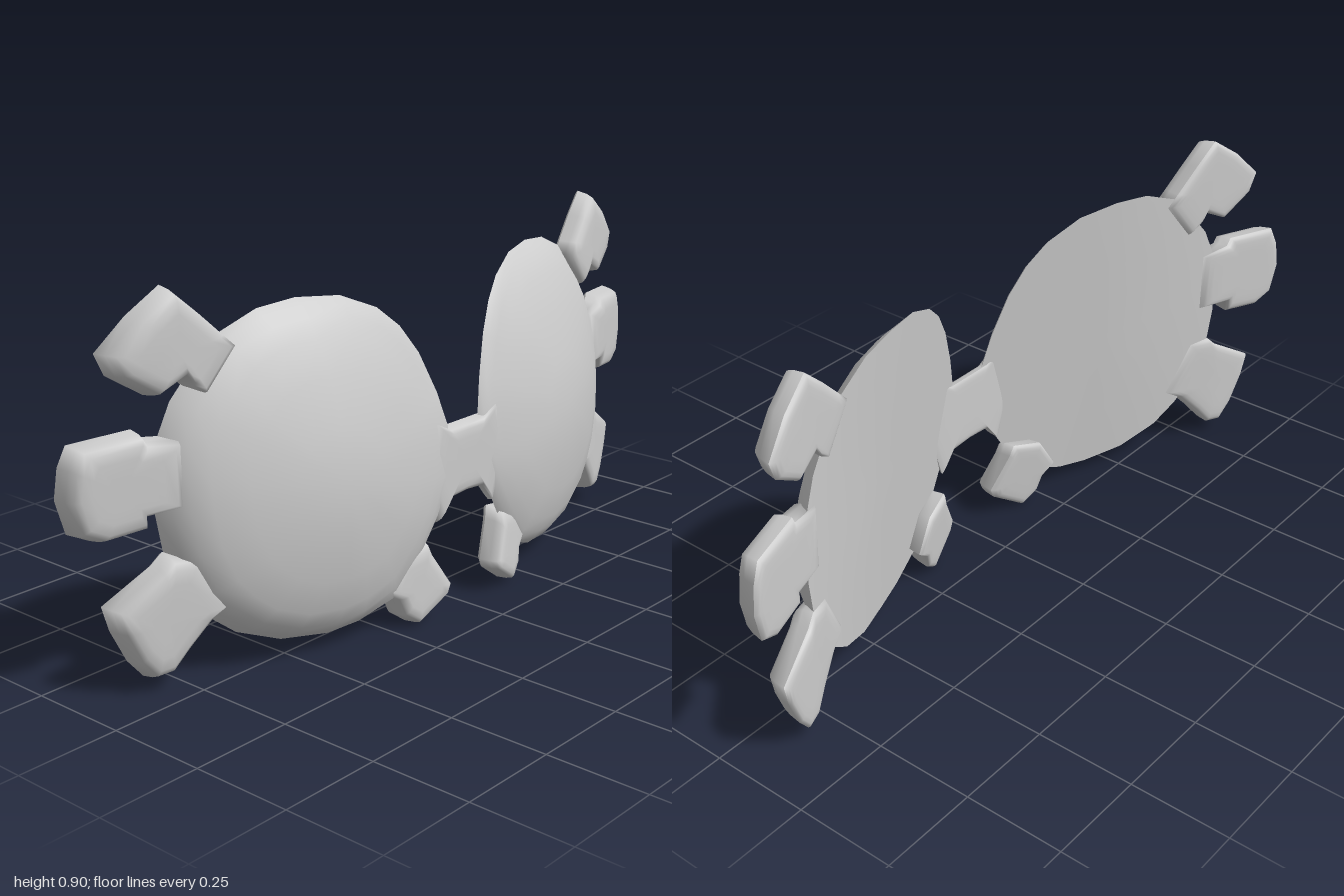
import * as THREE from 'three';
import { mergeVertices } from 'three/addons/utils/BufferGeometryUtils.js';

// Back sheet: slopes away from the bridge towards the temples, leaning slightly with height.
const back = (x, y) => {
  const fade = THREE.MathUtils.clamp((0.8 - x) / 0.4, 0, 1);
  return 0.015 - 0.3 * (x - 0.42) - 0.09 * fade * (y - 0.44);
};
// Domed front of a lens.
const dome = (x, y) => 0.16 - 0.65 * (x - 0.25) ** 2 - 0.56 * (y - 0.35) ** 2;

// Rings from the rim to the middle: [scale, share of full depth].
const RINGS = [[1, 0], [0.96, 0.5], [0.9, 0.82], [0.8, 0.96], [0.6, 1], [0.3, 1], [0, 1]];

// One smooth side of a cushion, from an outline shrunk ring by ring to its centre.
function cushionSide(points, [cx, cy], rim, depth, facing) {
  const n = points.length, position = [], index = [];
  for (const [s, p] of RINGS) {
    for (const [px, py] of points) {
      const x = cx + (px - cx) * s, y = cy + (py - cy) * s;
      position.push(x, y, rim(Math.abs(x), y) + depth(Math.abs(x), y) * p);
    }
  }
  for (let r = 0; r < RINGS.length - 1; r++) {
    for (let i = 0; i < n; i++) {
      const a = r * n + i, b = r * n + (i + 1) % n, c = a + n, d = b + n;
      if (facing > 0) index.push(a, b, d, a, d, c);
      else index.push(a, d, b, a, c, d);
    }
  }
  const geometry = new THREE.BufferGeometry();
  geometry.setAttribute('position', new THREE.Float32BufferAttribute(position, 3));
  geometry.setIndex(index);
  const merged = mergeVertices(geometry, 1e-5);
  merged.computeVertexNormals();
  return merged;
}

const material = new THREE.MeshStandardMaterial({ color: 0xcccccc, side: THREE.DoubleSide });

function cushion(name, outline, centre, side, rim, frontDepth, backDepth) {
  let points = outline.map(([x, y]) => [x * side, y]);
  if (THREE.ShapeUtils.area(points.map(([x, y]) => new THREE.Vector2(x, y))) < 0) points = points.reverse();
  const c = [centre[0] * side, centre[1]];
  const group = new THREE.Group();
  group.name = name;
  const front = new THREE.Mesh(cushionSide(points, c, rim, frontDepth, 1), material);
  front.name = name + 'Front';
  const rear = new THREE.Mesh(cushionSide(points, c, rim, backDepth, -1), material);
  rear.name = name + 'Back';
  group.add(front, rear);
  return group;
}

const LENS = [
  [0.055, 0.47], [0.08, 0.56], [0.12, 0.66], [0.165, 0.73], [0.22, 0.78], [0.31, 0.82], [0.42, 0.83],
  [0.52, 0.82], [0.62, 0.78], [0.69, 0.71], [0.74, 0.65], [0.775, 0.57], [0.785, 0.48], [0.785, 0.4],
  [0.77, 0.3], [0.73, 0.2], [0.68, 0.14], [0.62, 0.09], [0.52, 0.05], [0.41, 0.04], [0.33, 0.05],
  [0.23, 0.085], [0.15, 0.18], [0.1, 0.26], [0.06, 0.35],
];

const TABS = [
  { name: 'upperTab', centre: [0.75, 0.77], outline: [
    [0.6, 0.76], [0.63, 0.79], [0.69, 0.85], [0.75, 0.905], [0.83, 0.85], [0.9, 0.78], [0.88, 0.73],
    [0.8, 0.675], [0.73, 0.71], [0.71, 0.68], [0.68, 0.66]] },
  { name: 'middleTab', centre: [0.89, 0.49], outline: [
    [0.74, 0.575], [0.82, 0.585], [0.83, 0.605], [0.97, 0.595], [0.99, 0.55], [1, 0.48], [0.98, 0.4],
    [0.93, 0.375], [0.83, 0.385], [0.83, 0.415], [0.74, 0.42]] },
  { name: 'lowerTab', centre: [0.81, 0.17], outline: [
    [0.72, 0.31], [0.775, 0.315], [0.8, 0.29], [0.915, 0.22], [0.9, 0.16], [0.865, 0.08], [0.83, 0.035],
    [0.79, 0.04], [0.75, 0.09], [0.69, 0.155], [0.65, 0.18]] },
  { name: 'innerFoot', centre: [0.18, 0.1], drop: 0.035, outline: [
    [0.14, 0.21], [0.13, 0.18], [0.08, 0.09], [0.09, 0.065], [0.18, 0.005], [0.22, 0.035], [0.235, 0.08],
    [0.27, 0.11], [0.22, 0.19]] },
];

const BRIDGE = [
  [-0.12, 0.5], [-0.07, 0.475], [0, 0.475], [0.07, 0.475], [0.12, 0.5], [0.15, 0.37], [0.11, 0.24],
  [0.07, 0.29], [0, 0.295], [-0.07, 0.29], [-0.11, 0.24], [-0.15, 0.37],
];

export function createModel() {
  const model = new THREE.Group();
  model.name = 'spectacles';

  for (const [side, label] of [[1, 'left'], [-1, 'right']]) {
    const half = new THREE.Group();
    half.name = label + 'Half';
    // Lens: domed front, nearly flat back.
    half.add(cushion('lens', LENS, [0.42, 0.43], side, back,
      (x, y) => Math.max(dome(x, y) - back(x, y), 0.03), () => 0));
    // Claw-like tabs round the rim.
    for (const { name, centre, outline, drop = 0 } of TABS) {
      half.add(cushion(name, outline, centre, side, (x, y) => back(x, y) - drop,
        () => 0.06, () => -0.012));
    }
    model.add(half);
  }

  // Bridge between the lenses.
  model.add(cushion('bridge', BRIDGE, [0, 0.38], 1, () => 0.115, () => 0.028, () => -0.004));
  return model;
}
